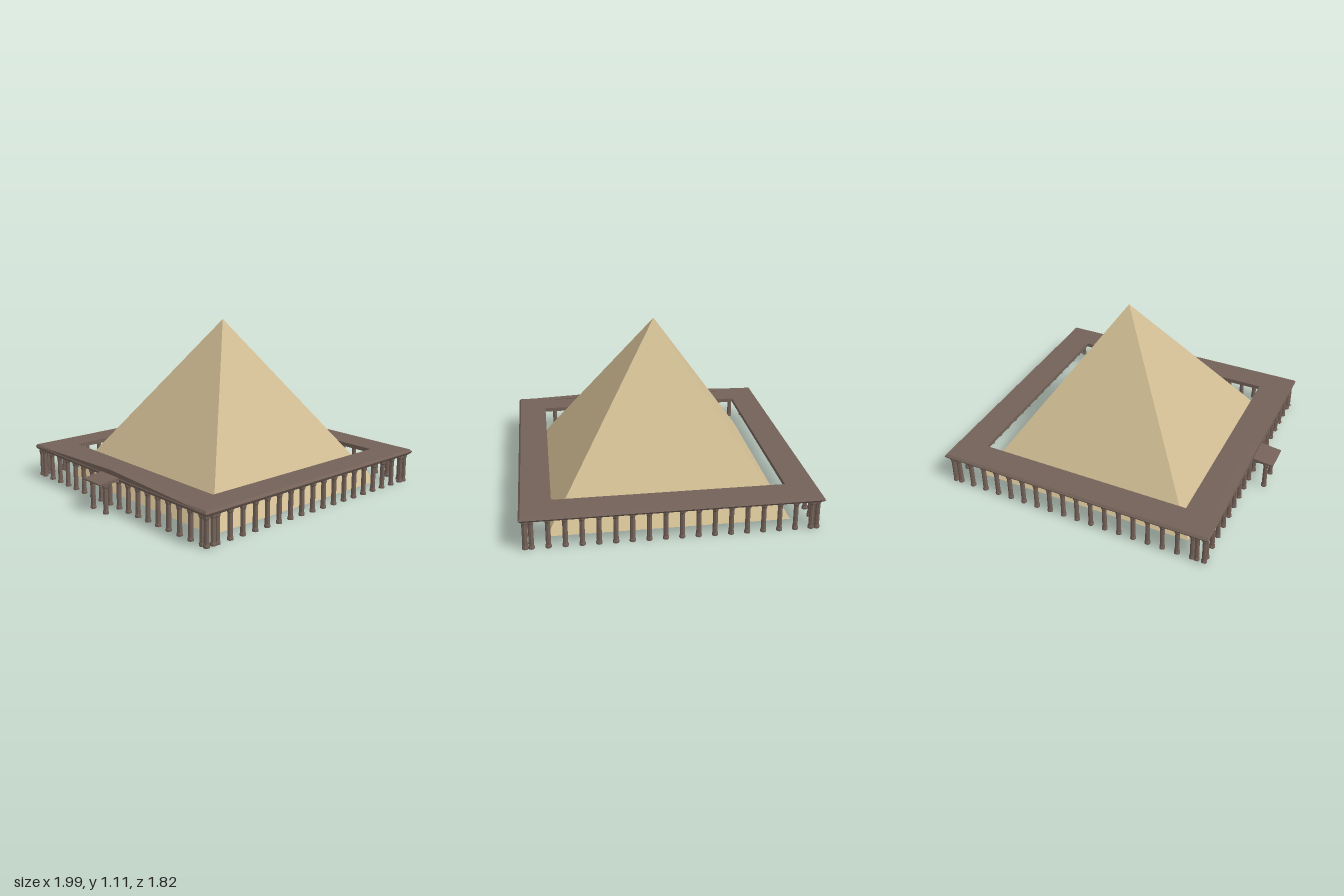
import * as THREE from 'three';

const stone = new THREE.MeshStandardMaterial({ color: 0x746259, flatShading: true });
const sand = new THREE.MeshStandardMaterial({ color: 0xd0bc93, flatShading: true });

const ROW_Z = 0.877, ROW_X0 = -0.835, ROW_X1 = 0.947;

function add(parent, name, geometry, material = stone) {
  const mesh = new THREE.Mesh(geometry, material);
  mesh.name = name;
  parent.add(mesh);
  return mesh;
}

// Closed rectangular ring lofted through rectangles [x0, x1, halfZ, y]
function rectRing(rects) {
  const pos = [], idx = [], n = rects.length;
  for (const [x0, x1, z, y] of rects) pos.push(x0, y, z, x1, y, z, x1, y, -z, x0, y, -z);
  for (let r = 0; r < n; r++) {
    for (let k = 0; k < 4; k++) {
      const a = r * 4 + k, b = r * 4 + (k + 1) % 4;
      const c = ((r + 1) % n) * 4 + k, d = ((r + 1) % n) * 4 + (k + 1) % 4;
      idx.push(a, b, c, b, d, c);
    }
  }
  const g = new THREE.BufferGeometry();
  g.setAttribute('position', new THREE.Float32BufferAttribute(pos, 3));
  g.setIndex(idx);
  const flat = g.toNonIndexed();
  flat.computeVertexNormals();
  return flat;
}

// Flat outline in x/y pushed out along z, centred on z = 0
function slab(points, depth) {
  const shape = new THREE.Shape(points.map(([x, y]) => new THREE.Vector2(x, y)));
  return new THREE.ExtrudeGeometry(shape, { depth, bevelEnabled: false }).translate(0, 0, -depth / 2);
}

// Arched beam above a row of columns
function arcade(stops) {
  const top = 0.2, spring = 0.172, half = 0.015;
  const pts = [[stops[0] - half, top], [stops[0] - half, spring]];
  for (let i = 0; i < stops.length - 1; i++) {
    const a = stops[i] + half, b = stops[i + 1] - half;
    if (b - a < 0.035) continue;
    for (let k = 0; k <= 8; k++) {
      const t = Math.PI * (1 - k / 8);
      pts.push([(a + b) / 2 + Math.cos(t) * (b - a) / 2, spring + Math.sin(t) * 0.023]);
    }
  }
  const end = stops[stops.length - 1] + half;
  pts.push([end, spring], [end, top]);
  return slab(pts, 0.018);
}

const columnGeometry = new THREE.LatheGeometry([
  [0, 0.006], [0.019, 0.006], [0.019, 0.018], [0.0155, 0.028], [0.015, 0.168],
  [0.019, 0.178], [0.019, 0.198], [0, 0.198],
].map(([r, y]) => new THREE.Vector2(r, y)), 8);

export function createModel() {
  const model = new THREE.Group();
  model.name = 'pyramidWithColonnade';

  // Pyramid standing on a dark stone floor
  const pyramid = new THREE.ConeGeometry(0.75 * Math.SQRT2, 1.11, 4, 1, true).rotateY(Math.PI / 4);
  add(model, 'pyramid', pyramid, sand).position.set(0.07, 0.555, 0);
  const floor = new THREE.PlaneGeometry(1.5, 1.5).rotateX(Math.PI / 2);
  add(model, 'pyramidFloor', floor).position.x = 0.07;

  // Flat roof around the pyramid with a bevelled outer edge
  add(model, 'colonnadeRoof', rectRing([
    [-0.645, 0.785, 0.715, 0.227],
    [-0.645, 0.785, 0.715, 0.2],
    [-0.845, 0.965, 0.888, 0.188],
    [-0.858, 0.98, 0.9, 0.197],
    [-0.865, 0.993, 0.909, 0.212],
    [-0.855, 0.98, 0.897, 0.227],
  ]));

  // Long low gable over the entrance side
  const gable = add(model, 'gable', slab([[-0.88, 0.22], [0.88, 0.22], [0, 0.254]], 0.054));
  gable.rotation.y = Math.PI / 2;
  gable.position.x = -0.838;

  // Entrance porch roof
  add(model, 'porchRoof', slab([[-1, 0.198], [-0.84, 0.198], [-0.84, 0.226], [-1, 0.206]], 0.18));

  // Column positions, evenly spaced with doubled columns at the corners
  const xStops = [ROW_X0], zStops = [-ROW_Z, -0.84];
  for (let i = 0; i < 17; i++) xStops.push(-0.757 + i * 0.098);
  xStops.push(0.905, ROW_X1);
  for (let i = 0; i < 16; i++) zStops.push(-0.742 + i * 0.0989);
  zStops.push(0.84, ROW_Z);

  const columns = new THREE.Group();
  columns.name = 'columns';
  model.add(columns);
  const column = (x, z) => add(columns, 'column', columnGeometry).position.set(x, 0, z);

  // Front and back rows
  for (const side of [1, -1]) {
    xStops.forEach((x) => column(x, side * ROW_Z));
    add(model, side > 0 ? 'frontArcade' : 'backArcade', arcade(xStops)).position.z = side * ROW_Z;
    column(-0.787, side * ROW_Z);
  }

  // Side rows
  for (const x of [ROW_X0, ROW_X1]) {
    zStops.slice(1, -1).forEach((z) => column(x, z));
    const beam = add(model, x > 0 ? 'leftArcade' : 'rightArcade', arcade(zStops));
    beam.rotation.y = -Math.PI / 2;
    beam.position.x = x;
  }

  // Porch columns
  for (const z of [-0.068, 0.068]) column(-0.948, z);

  return model;
}
